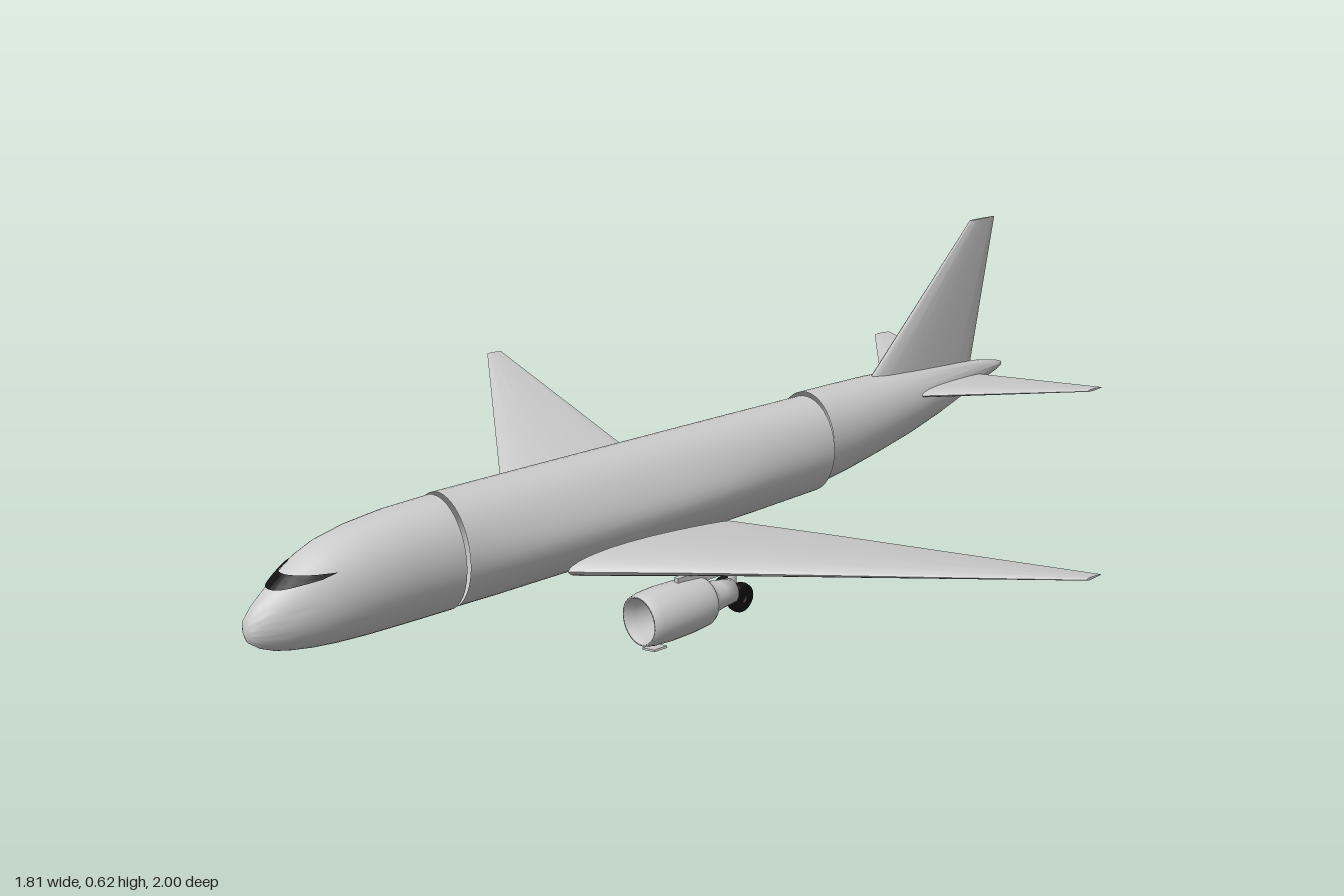
import * as THREE from 'three';
import { toCreasedNormals } from 'three/addons/utils/BufferGeometryUtils.js';

const grey = new THREE.MeshStandardMaterial({ color: 0xcccccc, side: THREE.DoubleSide });
const black = new THREE.MeshStandardMaterial({ color: 0x111111, side: THREE.DoubleSide });

function add(parent, name, geometry, material = grey) {
  const mesh = new THREE.Mesh(geometry, material);
  mesh.name = name;
  parent.add(mesh);
  return mesh;
}

// Skin stretched over a list of rings with equal point counts
function loft(rings, crease = 0.7) {
  const n = rings[0].length;
  const index = [];
  for (let i = 0; i < rings.length - 1; i++) {
    for (let j = 0; j < n - 1; j++) {
      const a = i * n + j, b = a + n;
      index.push(a, b, a + 1, b, b + 1, a + 1);
    }
  }
  const geometry = new THREE.BufferGeometry().setFromPoints(rings.flat());
  geometry.setIndex(index);
  return toCreasedNormals(geometry, crease);
}

// Collapsed copy of a ring, used to close an end
function capOf(ring) {
  const c = new THREE.Vector3();
  ring.forEach((p) => c.add(p));
  c.divideScalar(ring.length);
  return ring.map(() => c.clone());
}

// Fuselage stations: z, top y, bottom y, half width, fairing bulge
const NOSE = [
  [1, 0.168, 0.16, 0.004, 0], [0.993, 0.188, 0.142, 0.019, 0], [0.975, 0.208, 0.128, 0.03, 0],
  [0.95, 0.228, 0.117, 0.041, 0], [0.92, 0.252, 0.11, 0.053, 0], [0.88, 0.277, 0.104, 0.067, 0],
  [0.84, 0.293, 0.101, 0.077, 0], [0.78, 0.306, 0.099, 0.085, 0], [0.7, 0.315, 0.098, 0.088, 0],
  [0.603, 0.318, 0.098, 0.091, 0],
];
const MID = [
  [0.592, 0.319, 0.098, 0.091, 0], [0.5, 0.319, 0.098, 0.094, 0.007], [0.4, 0.319, 0.099, 0.094, 0.014],
  [0.25, 0.319, 0.1, 0.094, 0.017], [0.1, 0.319, 0.101, 0.094, 0.018], [-0.02, 0.319, 0.102, 0.093, 0.016],
  [-0.15, 0.319, 0.104, 0.092, 0.007], [-0.338, 0.319, 0.109, 0.087, 0],
];
const TAIL = [
  [-0.36, 0.319, 0.11, 0.085, 0], [-0.45, 0.319, 0.123, 0.081, 0], [-0.55, 0.318, 0.142, 0.075, 0],
  [-0.65, 0.314, 0.163, 0.067, 0], [-0.75, 0.307, 0.187, 0.051, 0], [-0.85, 0.298, 0.215, 0.032, 0],
  [-0.92, 0.289, 0.237, 0.02, 0], [-0.98, 0.279, 0.255, 0.01, 0], [-1, 0.272, 0.262, 0.003, 0],
];

function hullPoint([z, top, bottom, w, bulge], t, cx) {
  const s = Math.sin(t);
  const wide = w + bulge * Math.exp(-(((s + 0.15) / 0.6) ** 2));
  return new THREE.Vector3(cx + wide * Math.cos(t), (top + bottom) / 2 + ((top - bottom) / 2) * s, z);
}

function hull(stations, cx) {
  return stations.map((st) =>
    Array.from({ length: 49 }, (_, i) => hullPoint(st, (i / 48) * Math.PI * 2, cx)));
}

// Point of the nose skin at a given angle and height
function nosePoint(t, y, cx) {
  for (let i = 0; i < NOSE.length - 1; i++) {
    const a = hullPoint(NOSE[i], t, cx), b = hullPoint(NOSE[i + 1], t, cx);
    if (a.y <= y && b.y >= y) return a.lerp(b, (y - a.y) / (b.y - a.y));
  }
  return hullPoint(NOSE[NOSE.length - 1], t, cx);
}

function windscreen(cx) {
  const rings = [];
  for (let r = 0; r <= 4; r++) {
    const ring = [];
    for (let i = 0; i <= 24; i++) {
      const u = (i / 24) * 2 - 1;
      const t = Math.PI / 2 - u * 0.95;
      const low = 0.229 + 0.014 * u ** 4, high = 0.251;
      const p = nosePoint(t, low + ((high - low) * r) / 4, cx);
      ring.push(p.add(new THREE.Vector3(Math.cos(t) * 0.002, 0.002, 0.002)));
    }
    rings.push(ring);
  }
  return loft(rings);
}

// Tapered aerofoil along +x; stations: x, y, leading z, trailing z, thickness
function wingGeometry(stations) {
  const rings = stations.map(([x, y, lead, trail, thick]) =>
    Array.from({ length: 25 }, (_, i) => {
      const t = (i / 24) * Math.PI * 2;
      const c = (1 + Math.cos(t)) / 2;
      const h = (thick / 2) * Math.sin(t) * (0.45 + 0.9 * c);
      return new THREE.Vector3(x, y + h, trail + (lead - trail) * c);
    }));
  return loft([capOf(rings[0]), ...rings, capOf(rings[rings.length - 1])], 0.6);
}

function engine() {
  const g = new THREE.Group();
  g.name = 'engine';
  const profile = [
    [0.001, 0.15], [0.024, 0.15], [0.027, 0.18], [0.031, 0.202], [0.033, 0.212], [0.044, 0.218], [0.048, 0.226],
    [0.052, 0.27], [0.053, 0.32], [0.051, 0.355], [0.047, 0.373], [0.043, 0.373], [0.039, 0.35], [0.037, 0.3],
  ].map(([r, z]) => new THREE.Vector2(r, z));
  add(g, 'engineCowl', new THREE.LatheGeometry(profile, 32).rotateX(Math.PI / 2));
  add(g, 'fanDisc', new THREE.CircleGeometry(0.038, 32)).position.z = 0.31;
  add(g, 'spinner', new THREE.ConeGeometry(0.012, 0.03, 20).rotateX(Math.PI / 2)).position.z = 0.325;
  add(g, 'pylon', new THREE.BoxGeometry(0.01, 0.022, 0.1)).position.set(0, 0.05, 0.235);
  return g;
}

function mainGear() {
  const g = new THREE.Group();
  g.name = 'mainGear';
  add(g, 'strut', new THREE.CylinderGeometry(0.005, 0.006, 0.1, 12)).position.y = 0.05;
  add(g, 'strutCollar', new THREE.BoxGeometry(0.016, 0.016, 0.014)).position.y = 0.085;
  add(g, 'lowerStrut', new THREE.CylinderGeometry(0.009, 0.009, 0.035, 12)).position.y = 0.03;
  add(g, 'axle', new THREE.CylinderGeometry(0.006, 0.006, 0.06, 12).rotateZ(Math.PI / 2), black);
  const tyre = [[0.008, -0.011], [0.024, -0.011], [0.029, -0.007], [0.03, 0], [0.029, 0.007], [0.024, 0.011], [0.008, 0.011]]
    .map(([r, y]) => new THREE.Vector2(r, y));
  for (const s of [-1, 1]) {
    add(g, 'wheel', new THREE.LatheGeometry(tyre, 24).rotateZ(Math.PI / 2), black).position.x = s * 0.023;
  }
  return g;
}

export function createModel() {
  const model = new THREE.Group();
  model.name = 'airliner';

  // Fuselage in three separate sections
  const nose = hull(NOSE, 0.005);
  add(model, 'noseSection', loft([capOf(nose[0]), ...nose]));
  add(model, 'windscreen', windscreen(0.005), black);
  add(model, 'midSection', loft(hull(MID, 0)));
  const tail = hull(TAIL, -0.021);
  add(model, 'tailSection', loft([...tail, capOf(tail[tail.length - 1])]));

  // Wings, the right one sitting slightly higher and further back
  const wing = wingGeometry([
    [0.115, 0.147, 0.393, -0.02, 0.046],
    [0.35, 0.175, 0.238, -0.063, 0.032],
    [0.902, 0.235, -0.125, -0.166, 0.005],
  ]);
  add(model, 'leftWing', wing);
  const rightWing = add(model, 'rightWing', wing);
  rightWing.scale.x = -1;
  rightWing.position.set(-0.006, 0.022, -0.026);

  // Engines and main landing gear
  const leftEngine = engine();
  leftEngine.position.set(0.295, 0.1, -0.003);
  const rightEngine = engine();
  rightEngine.position.set(-0.298, 0.098, -0.01);
  const cowlFlap = add(leftEngine, 'cowlFlap', new THREE.BoxGeometry(0.035, 0.004, 0.03));
  cowlFlap.position.set(0.016, -0.053, 0.35);
  cowlFlap.rotation.z = 0.2;
  const leftGear = mainGear();
  leftGear.position.set(0.2, 0.038, 0.056);
  const rightGear = mainGear();
  rightGear.position.set(-0.191, 0.03, 0.047);
  model.add(leftEngine, rightEngine, leftGear, rightGear);

  // Tailplane and fin
  const stabilizer = wingGeometry([
    [0.012, 0.262, -0.612, -0.9, 0.022],
    [0.322, 0.286, -0.91, -0.961, 0.005],
  ]);
  for (const s of [1, -1]) {
    const half = add(model, s > 0 ? 'leftStabilizer' : 'rightStabilizer', stabilizer);
    half.scale.x = s;
    half.position.x = -0.021;
  }
  const fin = add(model, 'fin', wingGeometry([
    [0.27, 0, -0.51, -0.885, 0.034],
    [0.625, 0, -0.865, -0.949, 0.008],
  ]));
  fin.rotation.z = Math.PI / 2;
  fin.position.x = -0.02;

  return model;
}
